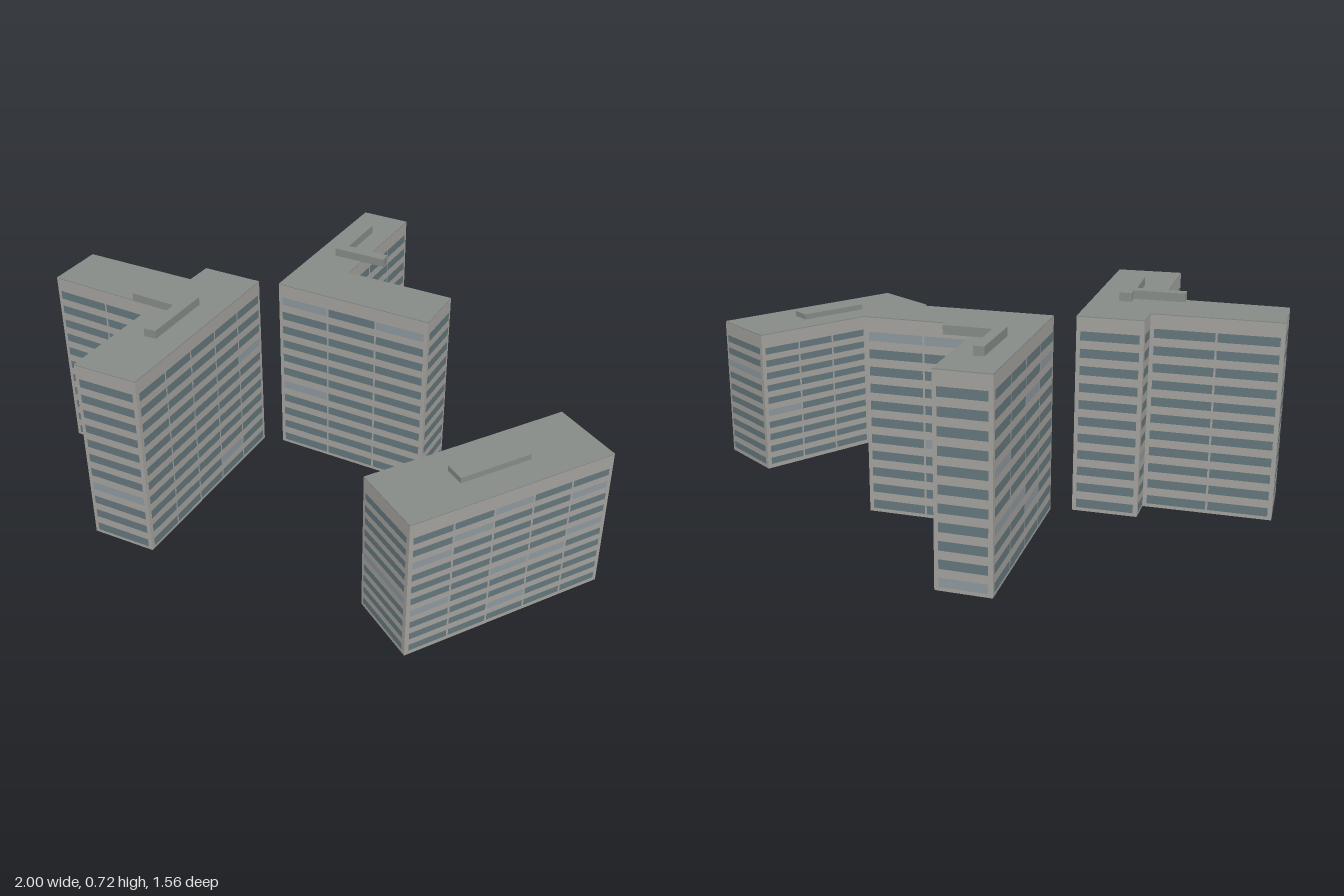
import * as THREE from 'three';
import { mergeGeometries } from 'three/addons/utils/BufferGeometryUtils.js';

const mat = (color) => new THREE.MeshStandardMaterial({ color, roughness: 0.9, flatShading: true });
const wallMat = mat(0xa3a19d), roofMat = mat(0x858b86), glassMat = mat(0x64767b), paleMat = mat(0x8c979d);

// Footprints are [x, z] corners, clockwise seen from above; columns gives window bays per edge.
const buildings = [
  {
    name: 'backTower', height: 0.69, rows: 11, pitch: 0.0595,
    plan: [[-0.535, -0.733], [-0.36, -0.785], [-0.214, -0.31], [0.176, -0.428], [0.235, -0.24], [-0.332, -0.07]],
    columns: [1, 3, 2, 1, 3, 4],
    plant: [[-0.417, -0.604], [-0.385, -0.615], [-0.325, -0.424], [-0.171, -0.47], [-0.155, -0.433], [-0.348, -0.374]],
    plantHeight: 0.03,
  },
  {
    name: 'frontTower', height: 0.69, rows: 11, pitch: 0.0595,
    plan: [[-1, 0.267], [-0.583, 0.134], [-0.61, 0.037], [-0.396, -0.032], [-0.166, 0.7], [-0.39, 0.775], [-0.519, 0.353], [-0.936, 0.47]],
    columns: [2, 1, 1, 5, 1, 3, 2, 1],
    plant: [[-0.61, 0.342], [-0.437, 0.289], [-0.455, 0.246], [-0.412, 0.233], [-0.332, 0.487], [-0.374, 0.503], [-0.43, 0.333], [-0.598, 0.38]],
    plantHeight: 0.03,
  },
  {
    name: 'sideBlock', height: 0.52, rows: 10, pitch: 0.0475,
    plan: [[0.743, -0.337], [1, -0.262], [0.786, 0.455], [0.529, 0.38]],
    columns: [1, 5, 1, 5],
    plant: [[0.765, -0.075], [0.834, -0.053], [0.759, 0.198], [0.69, 0.176]],
    plantHeight: 0.02,
  },
];

// Upright prism over a footprint
function prism(plan, base, depth, material, name) {
  const shape = new THREE.Shape(plan.map(([x, z]) => new THREE.Vector2(x, -z)));
  const geo = new THREE.ExtrudeGeometry(shape, { depth, bevelEnabled: false });
  geo.rotateX(-Math.PI / 2).translate(0, base, 0);
  const mesh = new THREE.Mesh(geo, material);
  mesh.name = name;
  return mesh;
}

// Small seeded generator for scattering the paler panes
function seeded(seed) {
  return () => (seed = (seed * 16807) % 2147483647) / 2147483647;
}

// Bands of windows just proud of every facade
function windows({ plan, columns, rows, pitch }, random) {
  const panes = [], palePanes = [];
  const margin = 0.014, gap = 0.007, paneHeight = pitch * 0.52;
  plan.forEach(([x0, z0], i) => {
    const [x1, z1] = plan[(i + 1) % plan.length];
    const length = Math.hypot(x1 - x0, z1 - z0);
    const dx = (x1 - x0) / length, dz = (z1 - z0) / length;
    const bay = (length - 2 * margin + gap) / columns[i];
    for (let c = 0; c < columns[i]; c++) {
      const t = margin + bay * c + (bay - gap) / 2;
      for (let r = 0; r < rows; r++) {
        const pane = new THREE.PlaneGeometry(bay - gap, paneHeight);
        pane.rotateY(Math.atan2(dz, -dx));
        pane.translate(x0 + dx * t + dz * 0.0012, 0.028 + r * pitch, z0 + dz * t - dx * 0.0012);
        (random() < 0.1 ? palePanes : panes).push(pane);
      }
    }
  });
  return [['windows', panes, glassMat], ['paleWindows', palePanes, paleMat]]
    .filter(([, list]) => list.length)
    .map(([name, list, material]) => {
      const mesh = new THREE.Mesh(mergeGeometries(list), material);
      mesh.name = name;
      return mesh;
    });
}

export function createModel() {
  const model = new THREE.Group();
  model.name = 'apartmentBlocks';
  const random = seeded(4217);
  for (const b of buildings) {
    const group = new THREE.Group();
    group.name = b.name;
    const roofDepth = 0.003;
    group.add(
      prism(b.plan, 0, b.height - roofDepth, wallMat, 'walls'),
      prism(b.plan, b.height - roofDepth, roofDepth, roofMat, 'roof'),
      prism(b.plant, b.height, b.plantHeight, roofMat, 'roofPlantRoom'),
      ...windows(b, random),
    );
    model.add(group);
  }
  return model;
}
